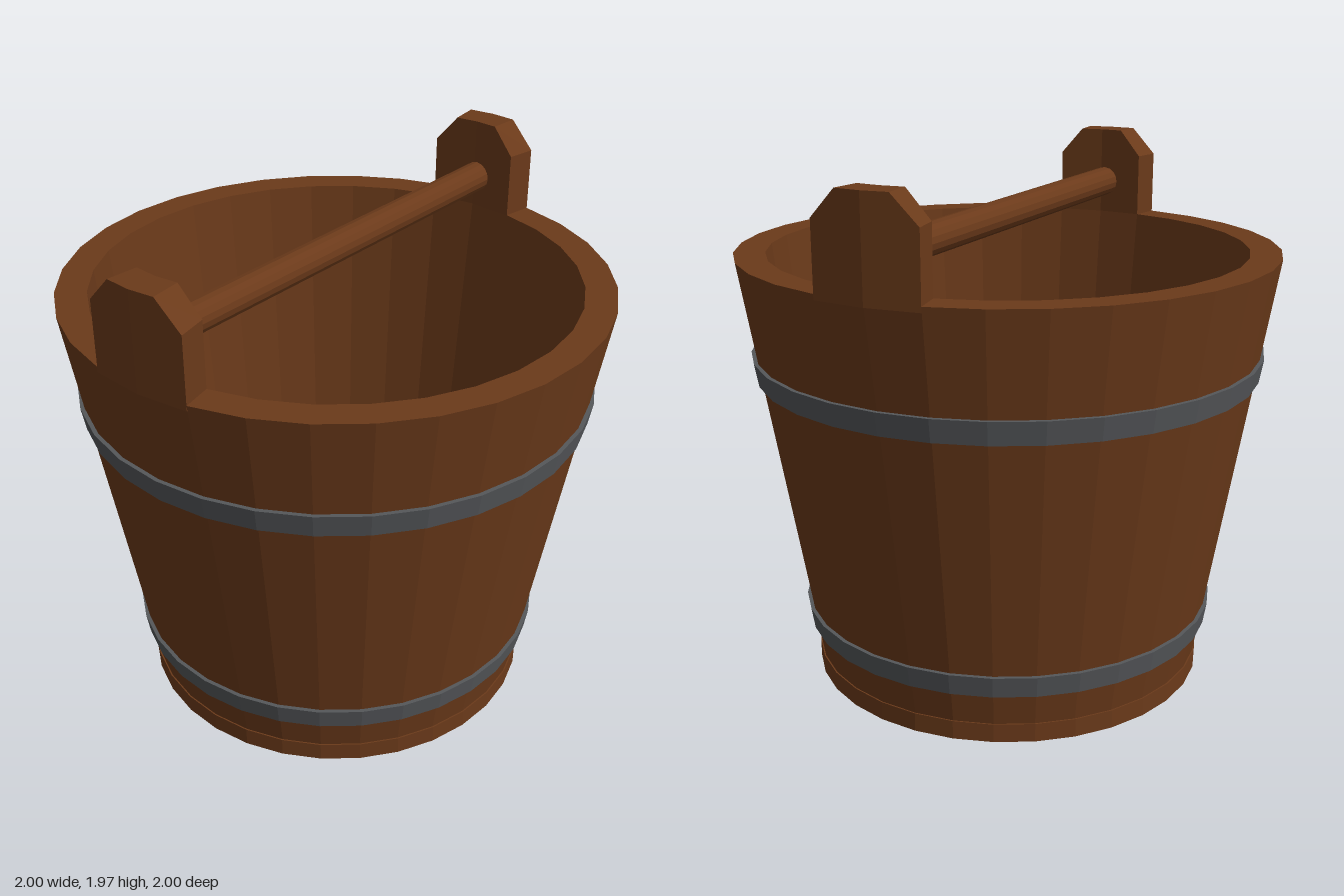
import * as THREE from 'three';

const SIDES = 32;
const RIM_Y = 1.63;
const RIM_INNER = 0.885;

const wood = new THREE.MeshStandardMaterial({ color: 0x6b3a1a, flatShading: true });
const iron = new THREE.MeshStandardMaterial({ color: 0x55575a, flatShading: true });

function part(name, geometry, material) {
  const mesh = new THREE.Mesh(geometry, material);
  mesh.name = name;
  return mesh;
}

// Ring turned from [radius, height] pairs, outer side going up first
function turned(points) {
  return new THREE.LatheGeometry(points.map(([r, y]) => new THREE.Vector2(r, y)), SIDES);
}

// Hoop of metal sloping with the wall
function hoop(name, yLow, yHigh, rLow, rHigh) {
  const t = 0.04;
  return part(name, turned([
    [rLow - t, yLow], [rLow, yLow], [rHigh, yHigh], [rHigh - t, yHigh],
  ]), iron);
}

// Raised stave two wall facets wide, with clipped top corners
function earGeometry() {
  const foot = RIM_Y - 0.02;
  const angle = (2 * Math.PI) / SIDES;
  const geometry = new THREE.BoxGeometry(2, 1, 1, 4, 1, 1).toNonIndexed();
  const p = geometry.attributes.position;
  for (let i = 0; i < p.count; i++) {
    const t = p.getX(i);
    const top = Math.abs(t) > 0.9 ? 1.87 : 1.97;
    const r = p.getZ(i) > 0 ? 1 : RIM_INNER;
    p.setXYZ(i,
      r * t * Math.sin(angle),
      p.getY(i) > 0 ? top : foot,
      r * (1 - Math.abs(t) * (1 - Math.cos(angle))));
  }
  geometry.computeVertexNormals();
  return geometry;
}

export function createModel() {
  const bucket = new THREE.Group();
  bucket.name = 'bucket';

  // Tapered wall with a flat rim
  bucket.add(part('wall', turned([
    [0.735, 0.01], [1, RIM_Y], [RIM_INNER, RIM_Y], [0.72, 0.03],
  ]), wood));

  // Round floor, slightly proud of the wall at the foot
  const floor = part('floor', new THREE.CylinderGeometry(0.75, 0.75, 0.07, SIDES), wood);
  floor.position.y = 0.035;
  bucket.add(floor);

  // Hoops
  bucket.add(hoop('lowerHoop', 0.195, 0.275, 0.78, 0.793));
  bucket.add(hoop('upperHoop', 1.175, 1.26, 0.94, 0.955));

  // Ears at the front and the back
  const earShape = earGeometry();
  ['frontEar', 'backEar'].forEach((name, i) => {
    const ear = part(name, earShape, wood);
    ear.rotation.y = i * Math.PI;
    bucket.add(ear);
  });

  // Handle bar between the ears, set a little askew
  const back = new THREE.Vector3(0.012, 1.75, -0.92);
  const front = new THREE.Vector3(-0.016, 1.758, 0.92);
  const along = front.clone().sub(back);
  const handle = part('handle', new THREE.CylinderGeometry(0.057, 0.057, along.length(), 16), wood);
  handle.position.copy(back).add(front).multiplyScalar(0.5);
  handle.quaternion.setFromUnitVectors(new THREE.Vector3(0, 1, 0), along.normalize());
  bucket.add(handle);

  return bucket;
}
